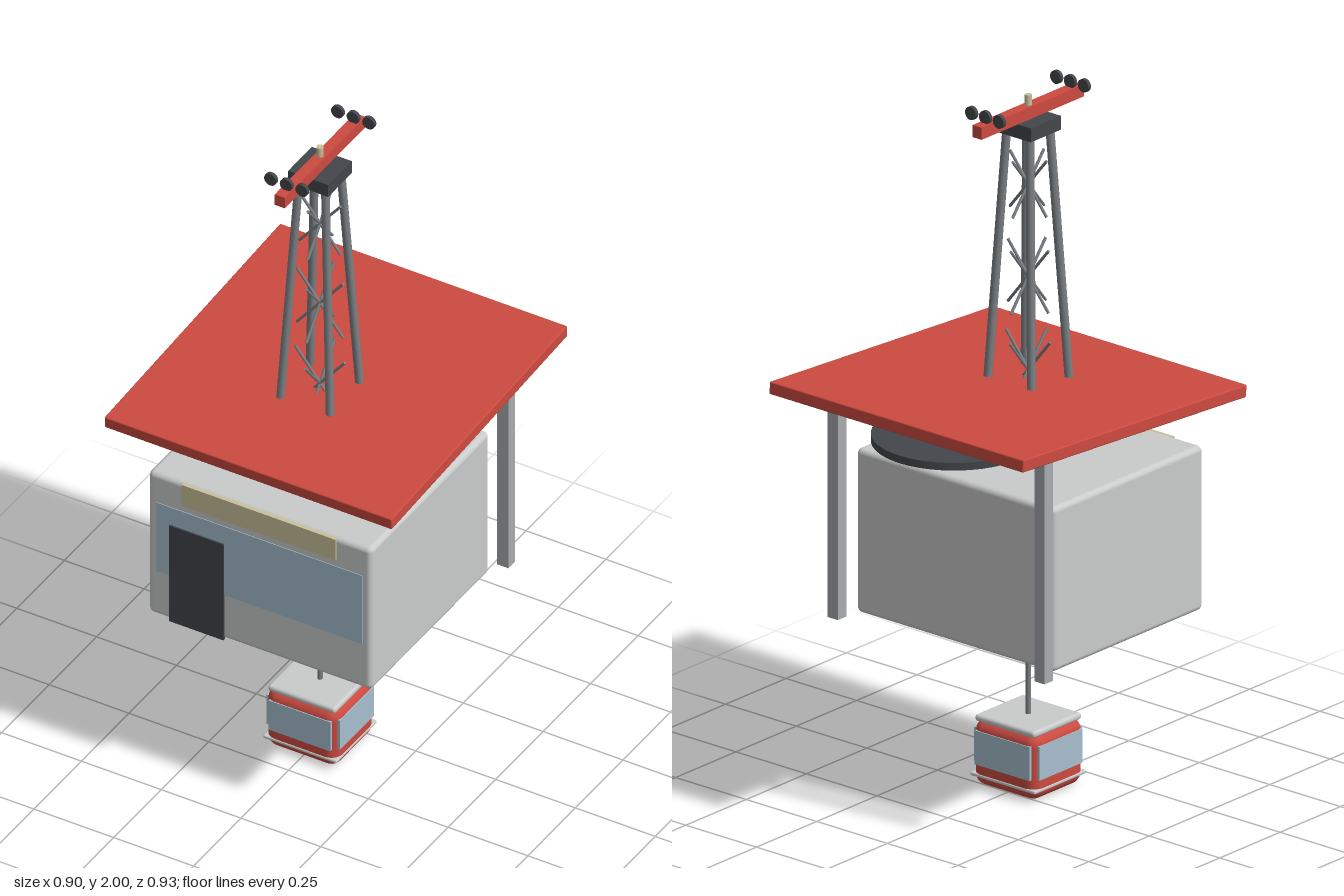
import * as THREE from 'three';
import { RoundedBoxGeometry } from 'three/addons/geometries/RoundedBoxGeometry.js';

const mat = (name, color) => {
  const m = new THREE.MeshStandardMaterial({ color });
  m.name = name;
  return m;
};

export function createModel() {
  const root = new THREE.Group();
  root.name = 'cableCarStation';

  const red = mat('red', 0xcd4a40);
  const wall = mat('wallGrey', 0xcacbcb);
  const post = mat('postGrey', 0xa9abb0);
  const steel = mat('steel', 0x7d8185);
  const dark = mat('charcoal', 0x43464a);
  const glass = mat('glass', 0xa7bfce);
  const cream = mat('cream', 0xcac29c);

  const add = (parent, name, geometry, material, x, y, z) => {
    const m = new THREE.Mesh(geometry, material);
    m.name = name;
    m.position.set(x, y, z);
    parent.add(m);
    return m;
  };
  const group = (name) => {
    const g = new THREE.Group();
    g.name = name;
    root.add(g);
    return g;
  };
  const box = (w, h, d) => new THREE.BoxGeometry(w, h, d);
  const rbox = (w, h, d, r, s = 3) => new RoundedBoxGeometry(w, h, d, s, r);
  const cyl = (r, h, n = 24) => new THREE.CylinderGeometry(r, r, h, n);

  // Round bar between two points
  const bar = (parent, name, a, b, r, n, material) => {
    const from = new THREE.Vector3(...a), to = new THREE.Vector3(...b);
    const dir = to.clone().sub(from);
    const mid = from.clone().add(to).multiplyScalar(0.5);
    const m = add(parent, name, cyl(r, dir.length(), n), material, mid.x, mid.y, mid.z);
    m.quaternion.setFromUnitVectors(new THREE.Vector3(0, 1, 0), dir.normalize());
    return m;
  };

  const TZ = 0.084; // shared z of the tower and the cabin

  // Station house with its front fittings
  const station = group('station');
  add(station, 'house', rbox(0.7, 0.475, 0.624, 0.016), wall, 0, 0.7375, 0.09);
  add(station, 'frontWindow', box(0.645, 0.23, 0.008), glass, 0, 0.765, 0.4);
  add(station, 'door', box(0.17, 0.322, 0.009), dark, -0.195, 0.661, 0.404);
  add(station, 'signBoard', box(0.482, 0.07, 0.02), cream, 0, 0.937, 0.397);

  // Sloping roof on two rear posts
  const roof = add(station, 'roof', rbox(0.9, 0.036, 0.928, 0.004, 2), red, 0, 1.167, 0);
  roof.rotation.x = 0.06;
  for (const s of [-1, 1]) {
    add(station, 'rearPost', box(0.036, 0.645, 0.036), post, s * 0.366, 0.8225, -0.28);
  }

  // Haul wheel under the rear of the roof
  const wheel = group('haulWheel');
  add(wheel, 'wheelDisc', cyl(0.224, 0.022, 48), dark, 0, 1.097, -0.224);
  add(wheel, 'wheelHub', cyl(0.04, 0.055, 24), steel, 0, 1.097, -0.22);

  // Lattice tower: four leaning legs and crossed braces
  const tower = group('tower');
  for (const sx of [-1, 1]) {
    for (const sz of [-1, 1]) {
      bar(tower, 'towerLeg',
        [sx * 0.089, 0.95, TZ + sz * 0.089],
        [sx * 0.041, 1.9, TZ + sz * 0.041], 0.012, 8, steel);
    }
  }
  const levels = [[0.93, 0.085, 0.1], [1.2, 0.078, 0.097], [1.47, 0.072, 0.09], [1.737, 0.065, 0.081]];
  for (const [y, w, h] of levels) {
    for (const s of [-1, 1]) {
      bar(tower, 'crossBrace', [-w, y - s * h, TZ], [w, y + s * h, TZ], 0.0042, 6, steel);
      bar(tower, 'lengthBrace', [0, y - s * h, TZ - w], [0, y + s * h, TZ + w], 0.0042, 6, steel);
    }
  }
  add(tower, 'towerCap', box(0.125, 0.04, 0.125), dark, 0, 1.91, TZ);

  // Top arm with rollers at both ends and a lamp
  add(tower, 'topArm', box(0.032, 0.035, 0.424), red, 0, 1.9475, TZ);
  for (const z of [TZ - 0.177, TZ + 0.175]) {
    for (const x of [-0.049, 0, 0.049]) {
      add(tower, 'roller', cyl(0.019, 0.011, 20), dark, x, 1.981, z).rotation.x = Math.PI / 2;
    }
  }
  add(tower, 'lamp', cyl(0.01, 0.032, 16), cream, 0, 1.979, TZ);

  // Hanger and grip beneath the house
  const hanger = group('hanger');
  bar(hanger, 'hangerRod', [0, 0.19, TZ], [0, 0.5, TZ], 0.0075, 12, steel);
  add(hanger, 'grip', box(0.056, 0.016, 0.03), dark, 0, 0.493, TZ);
  bar(hanger, 'gripArm', [0, 0.485, TZ], [0, 0.485, 0.002], 0.005, 10, steel);

  // Cabin
  const cabin = group('cabin');
  cabin.position.z = TZ;
  add(cabin, 'cabinBody', rbox(0.226, 0.19, 0.212, 0.034, 5), red, 0, 0.098, 0);
  add(cabin, 'cabinRoof', rbox(0.212, 0.02, 0.2, 0.009), wall, 0, 0.196, 0);
  add(cabin, 'bumper', rbox(0.23, 0.01, 0.216, 0.004, 2), wall, 0, 0.035, 0);
  for (const s of [-1, 1]) {
    add(cabin, 'endWindow', box(0.194, 0.098, 0.009), glass, 0, 0.115, s * 0.104);
    add(cabin, 'sideWindow', box(0.009, 0.098, 0.178), glass, s * 0.111, 0.115, 0);
  }

  return root;
}
